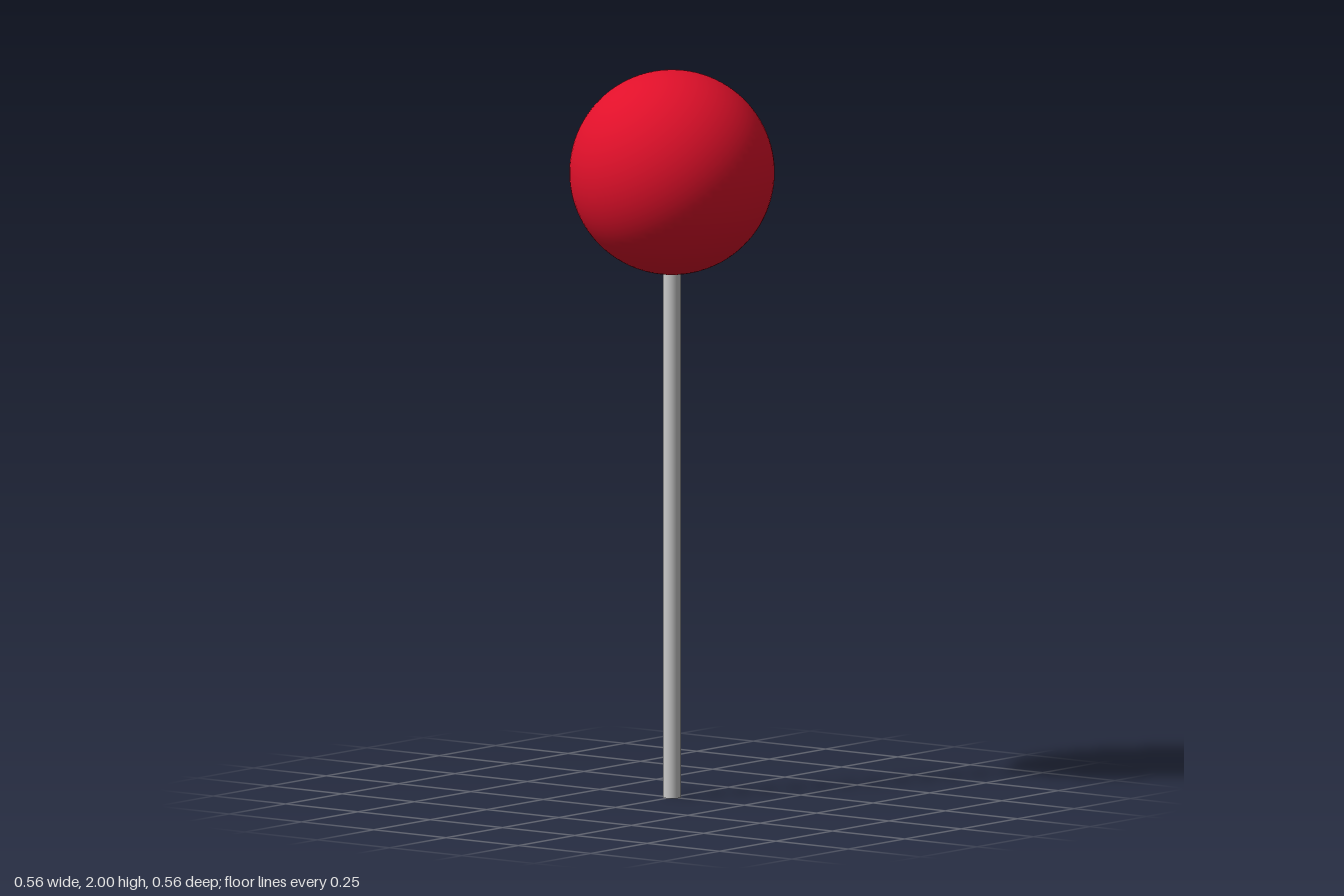
import * as THREE from 'three';

export function createModel() {
  const group = new THREE.Group();
  const headRadius = 0.28;
  const stickRadius = 0.025;
  const headY = 2 - headRadius;

  // Round red head
  const head = new THREE.Mesh(
    new THREE.SphereGeometry(headRadius, 64, 48),
    new THREE.MeshStandardMaterial({ color: 0xe0102a })
  );
  head.name = 'head';
  head.position.y = headY;
  group.add(head);

  // Hollow stick, open at the bottom, its top end tucked just inside the head
  const stickHeight = headY - headRadius + 0.02;
  const stick = new THREE.Mesh(
    new THREE.CylinderGeometry(stickRadius, stickRadius, stickHeight, 32, 1, true),
    new THREE.MeshStandardMaterial({ color: 0xcccccc, side: THREE.DoubleSide })
  );
  stick.name = 'stick';
  stick.position.y = stickHeight / 2;
  group.add(stick);

  return group;
}
